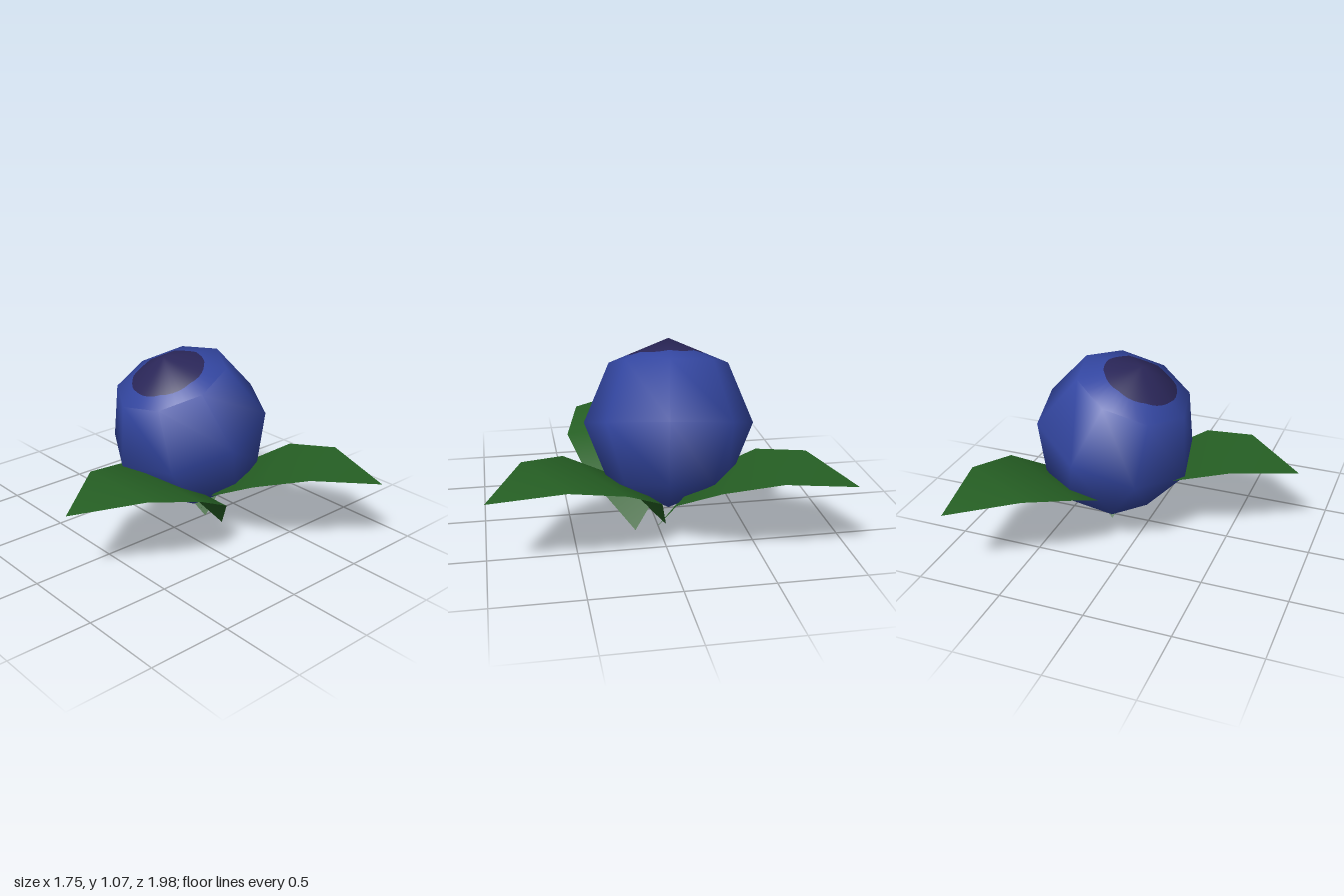
import * as THREE from 'three';

const material = (name, color, side = THREE.FrontSide) => {
  const m = new THREE.MeshStandardMaterial({ color, side });
  m.name = name;
  return m;
};

// Berry: sphere of 8 sides and 4 rings
const R = 0.485;
const RING = R * Math.SQRT1_2;

// Point on the berry's pointed top cap; k runs from the pole (0) to the ring (1)
function edgeRadius(angle) {
  const step = Math.PI / 4;
  const inFacet = ((angle % step) + step) % step;
  return RING * Math.cos(step / 2) / Math.cos(inFacet - step / 2);
}
function capPoint(angle, k) {
  const r = edgeRadius(angle) * k;
  return new THREE.Vector3(Math.sin(angle) * r, R - (R - RING) * k, Math.cos(angle) * r);
}

// Band of the cap between two limits, given as functions of the angle
function capBand(inner, outer) {
  const n = 40, pos = [], nor = [], idx = [];
  for (let i = 0; i <= n; i++) {
    const a = (i / n) * Math.PI * 2;
    for (const k of [inner(a), outer(a)]) {
      const p = capPoint(a, k);
      pos.push(p.x, p.y, p.z);
      p.normalize();
      nor.push(p.x, p.y, p.z);
    }
    if (i < n) {
      const v = i * 2;
      idx.push(v, v + 1, v + 3, v, v + 3, v + 2);
    }
  }
  const g = new THREE.BufferGeometry();
  g.setAttribute('position', new THREE.Float32BufferAttribute(pos, 3));
  g.setAttribute('normal', new THREE.Float32BufferAttribute(nor, 3));
  g.setIndex(idx);
  return g;
}

// Leaf: arched sheet from cross rows [distance from base, height, half width]
function leafGeometry() {
  const rows = [[0.205, 0.28, 0.25], [0.49, 0.435, 0.34], [0.80, 0.50, 0.255]];
  const pos = [0, 0, 0];
  const idx = [0, 1, 2];
  rows.forEach(([s, y, w], i) => {
    pos.push(-w, y, s, w, y, s);
    const l = 1 + i * 2, r = l + 1;
    if (i < rows.length - 1) idx.push(l, l + 2, r, r, l + 2, r + 2);
    else idx.push(l, l + 2, r);
  });
  pos.push(0, 0.435, 1.15);
  const g = new THREE.BufferGeometry();
  g.setAttribute('position', new THREE.Float32BufferAttribute(pos, 3));
  g.setIndex(idx);
  g.computeVertexNormals();
  return g;
}

export function createModel() {
  const model = new THREE.Group();
  model.name = 'berryWithLeaves';
  const blue = material('berryBlue', 0x3346a0);
  const purple = material('crownPurple', 0x2a2658);
  const green = material('leafGreen', 0x266024, THREE.DoubleSide);

  const add = (parent, name, geometry, mat) => {
    const mesh = new THREE.Mesh(geometry, mat);
    mesh.name = name;
    parent.add(mesh);
    return mesh;
  };

  // Tilted berry with a dark round crown at its pole
  const berry = new THREE.Group();
  berry.name = 'berry';
  berry.position.set(0.17, 0.62, -0.07);
  berry.rotation.set(0, -0.166, 0.361, 'YXZ');
  model.add(berry);
  const crownEdge = (a) =>
    (0.22 - 0.015 * Math.sin(a) + 0.018 * Math.cos(a)) / edgeRadius(a);
  add(berry, 'berryBody',
    new THREE.SphereGeometry(R, 8, 3, 0, Math.PI * 2, Math.PI / 4, Math.PI * 0.75), blue);
  add(berry, 'berryShoulder', capBand(crownEdge, () => 1), blue);
  add(berry, 'crownPatch', capBand(() => 0, crownEdge), purple);

  // Three leaves: base x, base z, heading
  const leaf = leafGeometry();
  [
    ['rightLeaf', 0.27, 0.14, -Math.PI / 2],
    ['frontLeaf', 0.22, -0.05, 0.44],
    ['backLeaf', 0.25, 0.01, 2.62],
  ].forEach(([name, x, z, heading]) => {
    const mesh = add(model, name, leaf, green);
    mesh.position.set(x, 0, z);
    mesh.rotation.y = heading;
  });

  return model;
}
